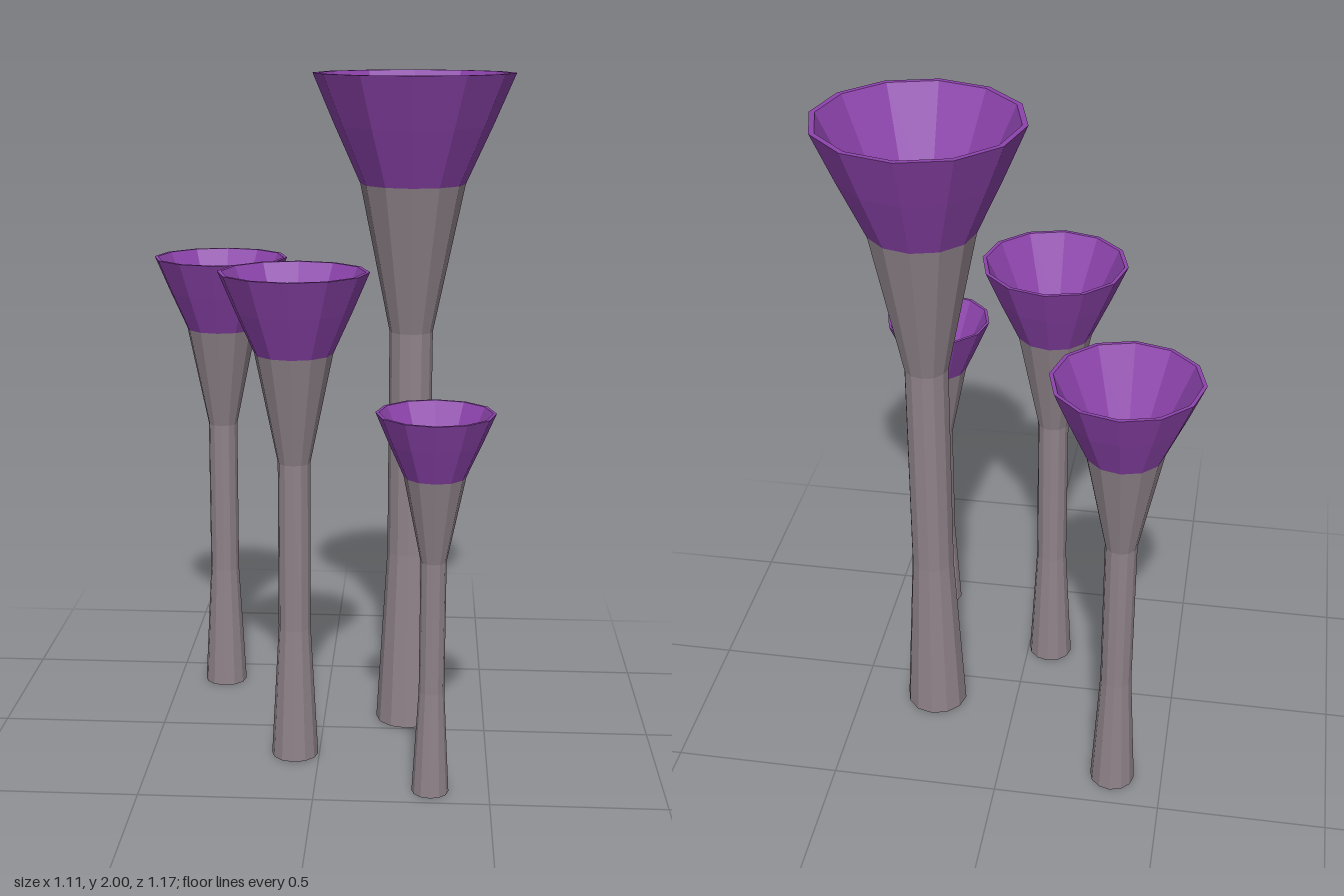
import * as THREE from 'three';

const SIDES = 12;

// Revolve [radius, height] pairs; upward runs face outwards, downward runs face inwards
function revolve(name, profile, material) {
  const points = profile.map(([r, y]) => new THREE.Vector2(r, y));
  const mesh = new THREE.Mesh(new THREE.LatheGeometry(points, SIDES).toNonIndexed(), material);
  mesh.geometry.computeVertexNormals(); // flat facets
  mesh.name = name;
  return mesh;
}

export function createModel() {
  const stemGrey = new THREE.MeshStandardMaterial({ color: 0x8e8289, side: THREE.DoubleSide, flatShading: true });
  stemGrey.name = 'stem grey';
  const cupPurple = new THREE.MeshStandardMaterial({ color: 0x8e44ad, flatShading: true });
  cupPurple.name = 'cup purple';

  // Hollow stem: flared foot, straight shaft, widening neck
  const stemProfile = [[0.095, 0], [0.065, 0.55], [0.065, 1.24], [0.155, 1.68]];
  // Cup: outer wall, rim, then the funnel lining down to the throat
  const cupProfile = [[0.155, 1.68], [0.232, 1.85], [0.296, 2], [0.28, 2], [0.127, 1.68], [0.045, 1.24]];

  // x, z, scale of each trumpet
  const trumpets = [
    ['tallTrumpet', 0.258, -0.1, 1],
    ['middleTrumpet', -0.073, 0.19, 0.73],
    ['backTrumpet', -0.348, -0.378, 0.71],
    ['smallTrumpet', 0.332, 0.42, 0.556],
  ];

  const model = new THREE.Group();
  model.name = 'trumpetCluster';
  for (const [name, x, z, scale] of trumpets) {
    const trumpet = new THREE.Group();
    trumpet.name = name;
    trumpet.add(revolve('stem', stemProfile, stemGrey), revolve('cup', cupProfile, cupPurple));
    trumpet.position.set(x, 0, z);
    trumpet.scale.setScalar(scale);
    model.add(trumpet);
  }
  return model;
}
